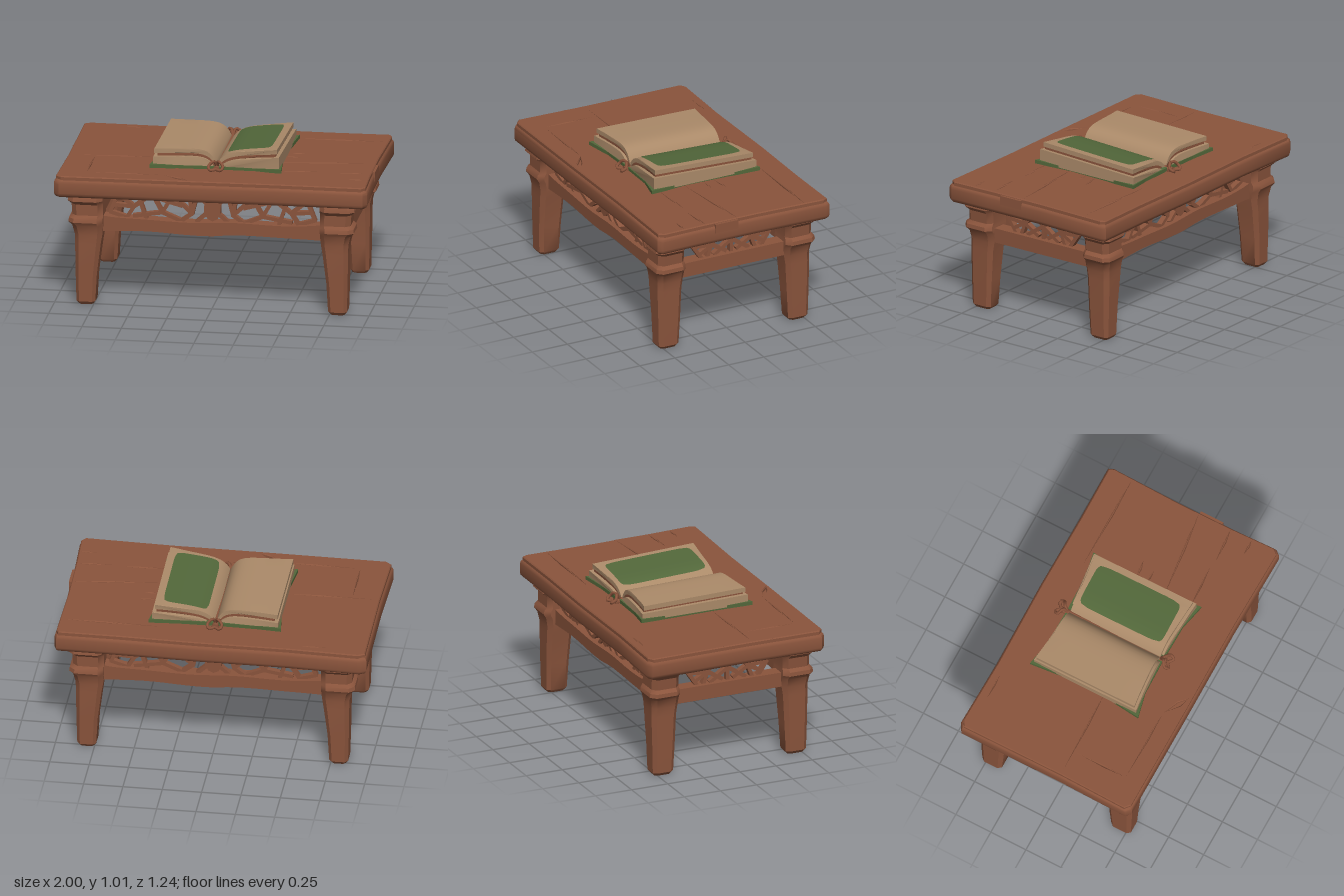
import * as THREE from 'three';
import { mergeGeometries, toCreasedNormals } from 'three/addons/utils/BufferGeometryUtils.js';

const V2 = (x, y) => new THREE.Vector2(x, y);
const V3 = (x, y, z) => new THREE.Vector3(x, y, z);

// Move every vertex by a rule.
function warp(geo, rule) {
  const p = geo.attributes.position, v = new THREE.Vector3();
  for (let i = 0; i < p.count; i++) {
    rule(v.fromBufferAttribute(p, i));
    p.setXYZ(i, v.x, v.y, v.z);
  }
  geo.computeVertexNormals();
  return geo;
}

// Horizontal plate from an [x, z] outline, bevelled inwards, with optional holes.
function plate(outline, y0, y1, bevel, holes = []) {
  const flat = (pts) => pts.map(([x, z]) => V2(x, -z));
  const shape = new THREE.Shape(flat(outline));
  holes.forEach((h) => shape.holes.push(new THREE.Path(flat(h))));
  return new THREE.ExtrudeGeometry(shape, {
    depth: y1 - y0 - 2 * bevel, bevelThickness: bevel, bevelSize: bevel,
    bevelOffset: -bevel, bevelSegments: bevel > 0.02 ? 3 : 1, bevelEnabled: bevel > 0,
  }).rotateX(-Math.PI / 2).translate(0, y0 + bevel, 0);
}

// Thin diamond-shaped split in the planks.
function crack([x0, z0, x1, z1, w]) {
  const len = Math.hypot(x1 - x0, z1 - z0);
  const nx = -(z1 - z0) / len * w, nz = (x1 - x0) / len * w;
  const mx = x0 + (x1 - x0) * 0.6, mz = z0 + (z1 - z0) * 0.6;
  return [[x0, z0], [mx + nx, mz + nz], [x1, z1], [mx - nx, mz - nz]];
}

// Carved square leg with chamfered corners; rings are [y, x0, x1, z0, z1].
const LEG = [
  [0, 0.755, 0.845, 0.405, 0.515], [0.02, 0.74, 0.86, 0.39, 0.53], [0.2, 0.73, 0.865, 0.38, 0.535],
  [0.4, 0.705, 0.868, 0.37, 0.54], [0.46, 0.695, 0.87, 0.36, 0.54], [0.52, 0.69, 0.885, 0.355, 0.55],
  [0.545, 0.69, 0.908, 0.355, 0.565], [0.57, 0.69, 0.905, 0.358, 0.56], [0.59, 0.69, 0.885, 0.36, 0.545],
  [0.66, 0.69, 0.89, 0.358, 0.545], [0.685, 0.69, 0.912, 0.355, 0.57], [0.71, 0.69, 0.908, 0.355, 0.565],
  [0.74, 0.69, 0.885, 0.355, 0.55],
];
function legGeometry(sx, sz) {
  const n = LEG.length - 1;
  const square = (c) => Math.sign(c) * (Math.abs(c) > 0.8 ? 1 : Math.abs(c) > 0.2 ? 0.68 : 0);
  const geo = new THREE.CylinderGeometry(1, 1, 1, 8, n).rotateY(Math.PI / 8);
  warp(geo, (v) => {
    const [y, x0, x1, z0, z1] = LEG[Math.round((v.y + 0.5) * n)];
    v.set(sx * (x0 + x1) / 2 + square(v.x) * (x1 - x0) / 2, y,
      sz * (z0 + z1) / 2 + square(v.z) * (z1 - z0) / 2);
  });
  return toCreasedNormals(geo, 0.6);
}

// Fretwork from bars [u0, y0, u1, y1], mirrored about the middle.
function lattice(bars) {
  const parts = [];
  for (const [u0, y0, u1, y1] of bars) {
    for (const s of u0 === 0 && u1 === 0 ? [1] : [1, -1]) {
      const dx = s * (u1 - u0), dy = y1 - y0;
      parts.push(new THREE.BoxGeometry(Math.hypot(dx, dy) + 0.012, 0.024, 0.035)
        .rotateZ(Math.atan2(dy, dx)).translate(s * (u0 + u1) / 2, (y0 + y1) / 2, 0));
    }
  }
  return mergeGeometries(parts);
}
const LONG_BARS = [
  [0.65, 0.6, 0.6, 0.73], [0.65, 0.6, 0.55, 0.57], [0.6, 0.72, 0.5, 0.64], [0.5, 0.64, 0.55, 0.56],
  [0.63, 0.65, 0.5, 0.64], [0.5, 0.64, 0.38, 0.73], [0.38, 0.72, 0.32, 0.61], [0.32, 0.61, 0.5, 0.58],
  [0.32, 0.61, 0.2, 0.56], [0.32, 0.61, 0.25, 0.73], [0.25, 0.72, 0.13, 0.61], [0.13, 0.61, 0.2, 0.56],
  [0.42, 0.56, 0.48, 0.73], [0.13, 0.61, 0.15, 0.73], [0.2, 0.66, 0.38, 0.71],
  [0, 0.65, 0.1, 0.73], [0, 0.65, 0.1, 0.56], [0.1, 0.73, 0.13, 0.61],
];
const SHORT_BARS = [
  [0, 0.55, 0, 0.74], [0, 0.64, 0.1, 0.73], [0, 0.64, 0.12, 0.56], [0.27, 0.64, 0.2, 0.74],
  [0.27, 0.64, 0.21, 0.55], [0.2, 0.73, 0.14, 0.63], [0.14, 0.63, 0.17, 0.55], [0.14, 0.63, 0.27, 0.64],
  [0.05, 0.74, 0.14, 0.63], [0.14, 0.63, 0.04, 0.57], [0.14, 0.63, 0.23, 0.58],
];

export function createModel() {
  const material = (name, color) => Object.assign(new THREE.MeshStandardMaterial({ color }), { name });
  const wood = material('reddish wood', 0x8a543c);
  const paper = material('aged paper', 0xab8a69);
  const green = material('green cloth', 0x52673a);
  green.side = THREE.DoubleSide;

  const model = new THREE.Group();
  model.name = 'tableWithOpenBook';
  const add = (name, geo, mat, parent = model) => {
    const mesh = new THREE.Mesh(geo, mat);
    mesh.name = name;
    parent.add(mesh);
    return mesh;
  };

  // Table top: thick rounded slab under a layer of split planks
  const outline = [
    [-0.99, -0.6], [-0.95, -0.625], [-0.5, -0.612], [0.1, -0.618], [0.6, -0.61], [0.98, -0.612], [0.995, -0.58],
    [0.985, -0.1], [0.99, 0.3], [1, 0.58], [0.975, 0.612], [0.4, 0.6], [-0.2, 0.602], [-0.96, 0.6], [-0.995, 0.57],
    [-0.985, 0.1],
  ];
  const tilt = (v) => { v.y += 0.006 * v.x + 0.007 * v.z; };
  const slab = warp(plate(outline, 0.715, 0.838, 0.03), tilt);
  add('tableSlab', toCreasedNormals(slab, 0.7), wood);
  const cracks = [
    [-0.97, -0.1, -0.62, -0.145, 0.004], [-0.97, 0.235, -0.77, 0.22, 0.006], [-0.93, 0.1, -0.38, 0.09, 0.003],
    [-0.8, 0.13, -0.8, 0.45, 0.002], [-0.78, 0.47, -0.33, 0.475, 0.003], [-0.3, 0.48, -0.15, 0.57, 0.014],
    [0.36, 0.11, 0.96, 0.045, 0.005], [0.34, -0.44, 0.96, -0.435, 0.005], [0.4, -0.1, 0.52, -0.115, 0.005],
    [0.36, 0.29, 0.68, 0.275, 0.003], [0.75, 0.285, 0.96, 0.27, 0.005], [-0.74, -0.55, -0.58, -0.55, 0.002],
    [0.87, 0.42, 0.96, 0.42, 0.005], [0.4, -0.03, 0.49, -0.025, 0.002],
  ].map(crack);
  const plankOutline = outline.map(([x, z]) => [x * 0.988, z * 0.98]);
  add('topPlanks', warp(plate(plankOutline, 0.8, 0.857, 0.006, cracks), tilt), wood);
  add('plankEnd', new THREE.BoxGeometry(0.04, 0.06, 0.16).translate(0.973, 0.825, 0.125), wood);

  // Legs
  for (const sx of [-1, 1]) {
    for (const sz of [-1, 1]) {
      add(`${sz > 0 ? 'front' : 'back'}${sx > 0 ? 'Left' : 'Right'}Leg`, legGeometry(sx, sz), wood);
    }
  }

  // Rails and fretwork: bowed along the long sides, straight on the short sides
  const longRail = warp(new THREE.BoxGeometry(1.44, 0.08, 0.09, 16, 1, 1), (v) => {
    const a = Math.abs(v.x) / 0.72;
    v.y += 0.525 + 0.008 * Math.sin(v.x * 9) * (1 - a) + (v.y > 0 ? 0.02 * a ** 6 : 0.012 * Math.sin(a * 3) - 0.008);
  });
  const longFret = lattice(LONG_BARS), shortFret = lattice(SHORT_BARS);
  const shortRail = new THREE.BoxGeometry(0.76, 0.095, 0.09).translate(0, 0.51, 0);
  const medallion = new THREE.CylinderGeometry(0.055, 0.055, 0.04, 10).rotateX(Math.PI / 2)
    .scale(1, 1.4, 1).translate(0, 0.645, 0);
  [['front', 0, 0.455], ['left', 1, 0.8], ['back', 2, 0.455], ['right', 3, 0.8]].forEach(([name, turn, out]) => {
    const side = new THREE.Group();
    side.name = `${name}Apron`;
    side.rotation.y = turn * Math.PI / 2;
    const long = turn % 2 === 0;
    const parts = [add('rail', long ? longRail : shortRail, wood, side),
      add('fretwork', long ? longFret : shortFret, wood, side)];
    if (long) parts.push(add('medallion', medallion, wood, side));
    parts.forEach((m) => { m.position.z = out; });
    model.add(side);
  });

  // Open book
  const book = new THREE.Group();
  book.name = 'openBook';
  model.add(book);
  const pageTop = (s, x) => (s > 0
    ? 0.88 + 0.075 * (1 - Math.exp(-x / 0.045)) + 0.1 * x
    : 0.88 + 0.105 * (1 - Math.exp(-x / 0.04)) - 0.03 * x);
  const lean = (s, z) => (s > 0 ? 0.04 : 0.02) * z;

  // A stack of sheets between two depths below the page surface
  function sheets(s, upper, lower, width, half) {
    const top = [], bottom = [];
    for (let i = 0; i <= 14; i++) {
      const x = 0.002 + (width - 0.002) * (i / 14) ** 1.5, y = pageTop(s, x);
      top.push(V2(s * x, Math.max(0.876, y - upper)));
      bottom.unshift(V2(s * x, Math.max(0.868, y - lower)));
    }
    const geo = new THREE.ExtrudeGeometry(new THREE.Shape([...top, ...bottom]),
      { depth: 2, steps: 6, bevelEnabled: false }).translate(0, 0, -1);
    return toCreasedNormals(warp(geo, (v) => {
      v.z = -0.035 + v.z * half * (1 + 0.09 * (v.x / 0.4) ** 2);
      if (v.y > 0.88) v.y += lean(s, v.z);
    }), 0.5);
  }
  for (const s of [-1, 1]) {
    const name = s > 0 ? 'left' : 'right';
    add(`${name}PageBlock`, sheets(s, 0.048, 1, 0.4, 0.335), paper, book);
    add(`${name}PageGap`, sheets(s, 0.028, 0.05, 0.375, 0.318), wood, book);
    add(`${name}TopPages`, sheets(s, 0, 0.03, s > 0 ? 0.385 : 0.395, 0.322), paper, book);
    // Cover with flared corners
    const cover = plate([[0, -0.38], [s * 0.25, -0.385], [s * 0.42, -0.415], [s * 0.395, -0.2], [s * 0.39, 0.1],
      [s * 0.42, 0.355], [s * 0.25, 0.315], [0, 0.31]], 0.855, 0.878, 0);
    warp(cover, (v) => { if (Math.abs(v.x) > 0.4) v.y += 0.01; });
    add(`${name}Cover`, cover, green, book);
  }

  // Green panel lying on one page
  const panel = new THREE.PlaneGeometry(2, 2, 16, 12).rotateX(-Math.PI / 2);
  warp(panel, (v) => {
    const u = v.x;
    v.x = 0.2 + u * 0.142 * (1 - 0.07 * v.z ** 10);
    v.z = -0.035 + v.z * 0.295 * (1 - 0.05 * u ** 10);
    v.y = pageTop(1, v.x) + lean(1, v.z) + 0.005;
  });
  add('greenPanel', panel, green, book);

  // Spine with a curled ornament at each end
  add('spine', new THREE.CylinderGeometry(0.022, 0.022, 0.74, 8).rotateX(Math.PI / 2)
    .translate(0, 0.862, -0.04), wood, book);
  for (const [end, z] of [[1, 0.31], [-1, -0.39]]) {
    for (const s of [-1, 1]) {
      const path = new THREE.CatmullRomCurve3([V3(0, 0.87, z - end * 0.02), V3(s * 0.015, 0.915, z + end * 0.01),
        V3(s * 0.045, 0.89, z + end * 0.03), V3(s * 0.035, 0.87, z + end * 0.055), V3(0, 0.868, z + end * 0.03)]);
      add('spineCurl', new THREE.TubeGeometry(path, 14, 0.01, 6), wood, book);
    }
  }
  return model;
}
